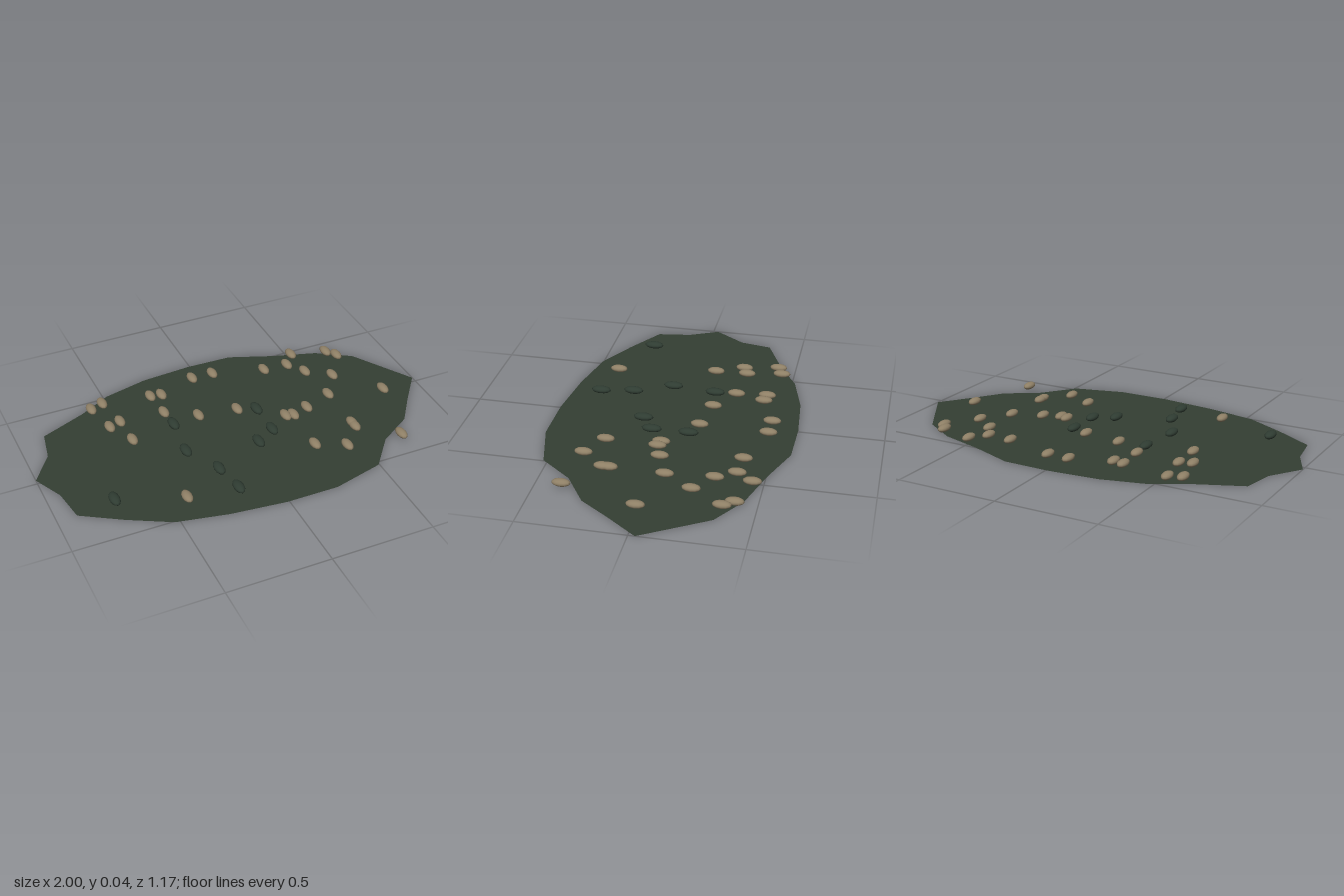
import * as THREE from 'three';

export function createModel() {
  const model = new THREE.Group();
  const mat = (name, color, side = THREE.FrontSide) => {
    const m = new THREE.MeshStandardMaterial({ color, side });
    m.name = name;
    return m;
  };
  const moss = mat('moss green', 0x343f33, THREE.DoubleSide);
  const tan = mat('tan stone', 0x8f8066);
  const dark = mat('dark green stone', 0x2f3c32);

  // Irregular flat ground patch, outline as x, z
  const outline = [
    [-1, -0.025], [-0.895, -0.175], [-0.865, -0.33], [-0.64, -0.425], [-0.48, -0.515], [-0.26, -0.57],
    [-0.01, -0.59], [0.22, -0.585], [0.425, -0.505], [0.65, -0.435], [0.815, -0.33], [1, -0.03],
    [0.885, 0.12], [0.785, 0.26], [0.62, 0.365], [0.495, 0.52], [0.245, 0.585], [-0.01, 0.585],
    [-0.28, 0.555], [-0.525, 0.505], [-0.72, 0.4], [-0.905, 0.285], [-0.93, 0.12],
  ];
  const shape = new THREE.Shape(outline.map(([x, z]) => new THREE.Vector2(x, -z)));
  const patch = new THREE.Mesh(new THREE.ShapeGeometry(shape).rotateX(-Math.PI / 2), moss);
  patch.name = 'groundPatch';
  model.add(patch);

  // Flattened pebbles scattered over the patch, all stretched along z
  const scatter = (name, material, size, places) => {
    const geometry = new THREE.SphereGeometry(1, 12, 8).scale(...size);
    const group = new THREE.Group();
    group.name = name;
    for (const [x, z] of places) {
      const pebble = new THREE.Mesh(geometry, material);
      pebble.name = 'pebble';
      pebble.position.set(x, 0.025, z);
      group.add(pebble);
    }
    model.add(group);
  };

  scatter('tanPebbles', tan, [0.024, 0.018, 0.044], [
    [-0.595, -0.415], [-0.53, -0.44], [-0.29, -0.4], [-0.235, -0.39], [-0.04, -0.46], [0.07, -0.457],
    [0.325, -0.38], [0.452, -0.372], [0.513, -0.45], [0.69, -0.4], [0.727, -0.35], [-0.56, -0.243],
    [-0.5, -0.265], [-0.495, -0.105], [-0.278, -0.247], [-0.133, -0.155], [0.06, -0.125], [0.51, -0.28],
    [0.623, -0.195], [0.527, -0.055], [0.38, 0], [0.255, 0.02], [0.293, 0.03], [0.8, 0.015],
    [0.283, 0.28], [0.523, 0.205], [0.523, 0.232], [0.42, 0.35], [0.698, 0.377], [-0.418, 0.39],
  ]);
  scatter('darkPebbles', dark, [0.025, 0.018, 0.049], [
    [-0.27, -0.14], [0.148, -0.088], [0.148, 0.09], [0.048, 0.153],
    [-0.295, 0.077], [-0.205, 0.262], [-0.178, 0.422], [-0.722, 0.272],
  ]);
  return model;
}
